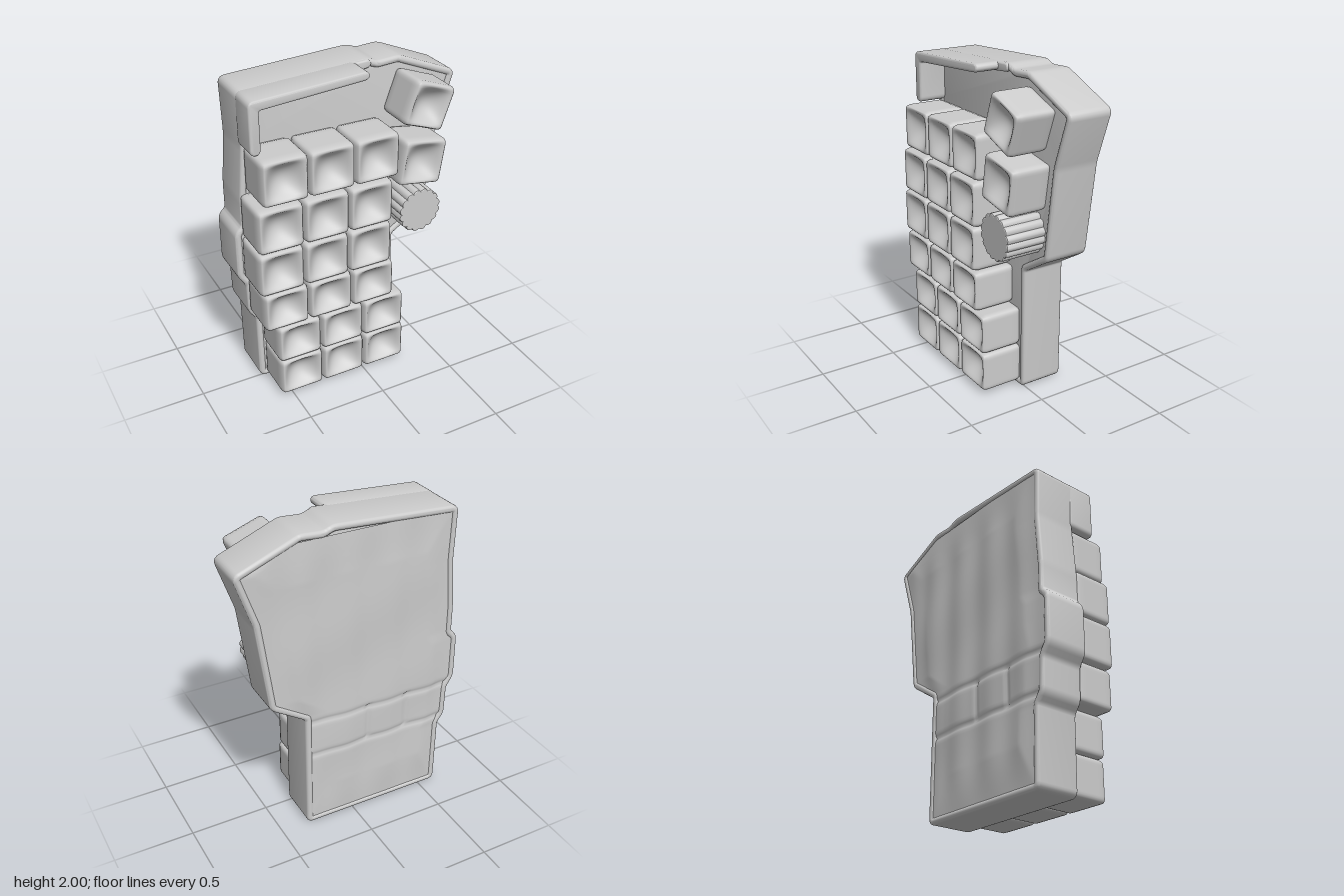
import * as THREE from 'three';
import { mergeVertices, toCreasedNormals } from 'three/addons/utils/BufferGeometryUtils.js';

const grey = new THREE.MeshStandardMaterial({ color: 0xcccccc });
const V = (x, y) => new THREE.Vector2(x, y);

// Case outline, counter-clockwise from the lower left corner
const OUTLINE = [
  [-0.62, 0], [0.327, 0], [0.327, 0.795], [0.547, 0.935], [0.622, 1.5], [0.732, 1.825],
  [0.34, 1.985], [0.2, 1.975], [0.14, 2], [-0.665, 1.953], [-0.655, 1.62], [-0.68, 1.3],
  [-0.68, 1.13], [-0.722, 1.09], [-0.722, 0.79], [-0.675, 0.72], [-0.67, 0.52], [-0.625, 0.46],
].map(([x, y]) => V(x, y));

// Moves every edge of a counter-clockwise polygon inwards by d
function inset(pts, d) {
  return pts.map((p, i) => {
    const a = pts[(i + pts.length - 1) % pts.length], b = pts[(i + 1) % pts.length];
    const e = p.clone().sub(a).normalize(), f = b.clone().sub(p).normalize();
    const n = V(-e.y - f.y, e.x + f.x).normalize();
    return p.clone().addScaledVector(n, d / (n.x * -e.y + n.y * e.x));
  });
}

// Traces a polygon with rounded corners
function trace(path, pts, r) {
  pts.forEach((p, i) => {
    const a = pts[(i + pts.length - 1) % pts.length], b = pts[(i + 1) % pts.length];
    const toward = (q) => p.clone().lerp(q, Math.min(0.45, r / p.distanceTo(q)));
    const s = toward(a), t = toward(b);
    if (i) path.lineTo(s.x, s.y); else path.moveTo(s.x, s.y);
    path.quadraticCurveTo(p.x, p.y, t.x, t.y);
  });
  path.closePath();
  return path;
}

function add(group, name, geometry) {
  const mesh = new THREE.Mesh(geometry, grey);
  mesh.name = name;
  group.add(mesh);
  return mesh;
}

// Extrusion from z0 to z1 whose rounded edges stay inside the outline
function slab(pts, z0, z1, bevel, hole) {
  const shape = trace(new THREE.Shape(), inset(pts, bevel), 0.025);
  if (hole) shape.holes.push(trace(new THREE.Path(), hole, 0.02));
  const g = new THREE.ExtrudeGeometry(shape, {
    depth: z1 - z0 - 2 * bevel, bevelThickness: bevel, bevelSize: bevel, bevelSegments: 3, curveSegments: 5,
  });
  g.translate(0, 0, z0 + bevel);
  return toCreasedNormals(g, 0.6);
}

// Keycap: rounded box with a bowl-shaped front
function keyGeometry(w, h, d) {
  const g = new THREE.BoxGeometry(w, h, d, 20, 20, 8);
  g.deleteAttribute('uv');
  g.deleteAttribute('normal');
  const pos = g.attributes.position, r = 0.03;
  const p = new THREE.Vector3(), c = new THREE.Vector3();
  const lim = new THREE.Vector3(w / 2 - r, h / 2 - r, d / 2 - r);
  for (let i = 0; i < pos.count; i++) {
    p.fromBufferAttribute(pos, i);
    const front = p.z > d / 2 - 1e-4;
    const bx = 1 - (p.x / (w * 0.43)) ** 2, by = 1 - (p.y / (h * 0.43)) ** 2;
    c.copy(p).clamp(lim.clone().negate(), lim);
    p.sub(c);
    if (p.length() > r) p.setLength(r);
    p.add(c);
    if (front && bx > 0 && by > 0) p.z -= 0.08 * bx * by;
    pos.setXYZ(i, p.x, p.y, p.z);
  }
  const m = mergeVertices(g, 1e-5);
  m.computeVertexNormals();
  return m;
}

// Linear interpolation along a list of [y, x] pairs
function edgeAt(list, y) {
  for (let i = 1; i < list.length; i++) {
    const [y0, x0] = list[i - 1], [y1, x1] = list[i];
    if (y <= y1) return x0 + (x1 - x0) * Math.max(0, (y - y0) / (y1 - y0));
  }
  return list[list.length - 1][1];
}

// Softly uneven base sheet, facing back, with two cross grooves and short column grooves between them
function baseGeometry() {
  const left = [[0, -0.59], [0.46, -0.59], [0.53, -0.64], [0.72, -0.64], [0.8, -0.69], [1.08, -0.69], [1.14, -0.65], [1.3, -0.65], [1.62, -0.62], [1.92, -0.63]];
  const right = [[0, 0.295], [0.81, 0.295], [0.95, 0.515], [1.5, 0.59], [1.81, 0.69], [1.93, 0.42]];
  const g = new THREE.PlaneGeometry(1, 1, 64, 120);
  const pos = g.attributes.position;
  for (let i = 0; i < pos.count; i++) {
    const u = 0.5 - pos.getX(i), v = pos.getY(i) + 0.5;
    const y = 0.025 + v * 1.915;
    const x = THREE.MathUtils.lerp(edgeAt(left, y), edgeAt(right, y), u);
    const fade = Math.min(1, 8 * u, 8 * (1 - u), 8 * v, 8 * (1 - v));
    const bump = 0.5 + 0.3 * Math.cos((x + 0.52) * 22) + 0.2 * Math.cos(y * 9 + x * 4);
    let z = -0.254 - 0.018 * fade * bump;
    for (const s of [0.52, 0.76]) z += 0.01 * Math.exp(-(((y - s) / 0.014) ** 2));
    if (y > 0.52 && y < 0.76) for (const s of [-0.37, -0.1]) z += 0.01 * Math.exp(-(((x - s) / 0.014) ** 2));
    pos.setXYZ(i, x, y, z);
  }
  g.computeVertexNormals();
  return g;
}

export function createModel() {
  const model = new THREE.Group();
  model.name = 'splitKeyboardHalf';

  // Case: rounded outer wall around a recessed plate
  add(model, 'caseWall', slab(OUTLINE, -0.262, 0.02, 0.018, inset(OUTLINE, 0.024)));
  add(model, 'keyPlate', slab(inset(OUTLINE, 0.015), -0.242, 0.004, 0.002));
  add(model, 'basePanel', baseGeometry());

  // Raised L-shaped guard at the upper left corner
  const guard = [[-0.663, 1.64], [-0.6, 1.64], [-0.6, 1.895], [0.06, 1.945], [0.06, 1.995], [-0.663, 1.953]];
  add(model, 'cornerGuard', slab(guard.map(([x, y]) => V(x, y)), -0.005, 0.178, 0.012));
  const rail = [[0, 1.935], [0.15, 1.95], [0.15, 1.998], [0, 1.99]];
  add(model, 'guardRail', slab(rail.map(([x, y]) => V(x, y)), -0.005, 0.03, 0.01));

  // Main keys: [first column x, centre y, height] per row
  const keys = new THREE.Group();
  keys.name = 'mainKeys';
  model.add(keys);
  const rows = [[-0.438, 0.15, 0.252], [-0.445, 0.403, 0.25], [-0.523, 0.658, 0.25],
    [-0.545, 0.925, 0.275], [-0.54, 1.205, 0.275], [-0.504, 1.498, 0.275]];
  rows.forEach(([x, y, h], row) => {
    const geometry = keyGeometry(0.28, h, 0.275);
    for (let col = 0; col < 3; col++) {
      add(keys, `keyRow${row + 1}Column${col + 1}`, geometry).position.set(x + col * 0.287, y, 0.137);
    }
  });

  // Turned thumb keys
  for (const [x, y, size, deg] of [[0.413, 1.742, 0.275, -20], [0.383, 1.393, 0.29, -9]]) {
    const key = add(model, 'thumbKey', keyGeometry(size, size * 0.98, 0.26));
    key.position.set(x, y, 0.127);
    key.rotation.z = THREE.MathUtils.degToRad(deg);
  }

  // Fluted rotary knob
  const flutes = [];
  for (let i = 0; i < 128; i++) {
    const a = (i / 128) * Math.PI * 2;
    const r = 0.122 + 0.014 * Math.abs(Math.sin(a * 8));
    flutes.push(V(r * Math.cos(a), r * Math.sin(a)));
  }
  const knob = new THREE.ExtrudeGeometry(new THREE.Shape(flutes), {
    depth: 0.24, bevelThickness: 0.01, bevelSize: 0.006, bevelSegments: 2,
  });
  add(model, 'rotaryKnob', toCreasedNormals(knob, 0.6)).position.set(0.37, 1.08, 0.012);

  return model;
}
